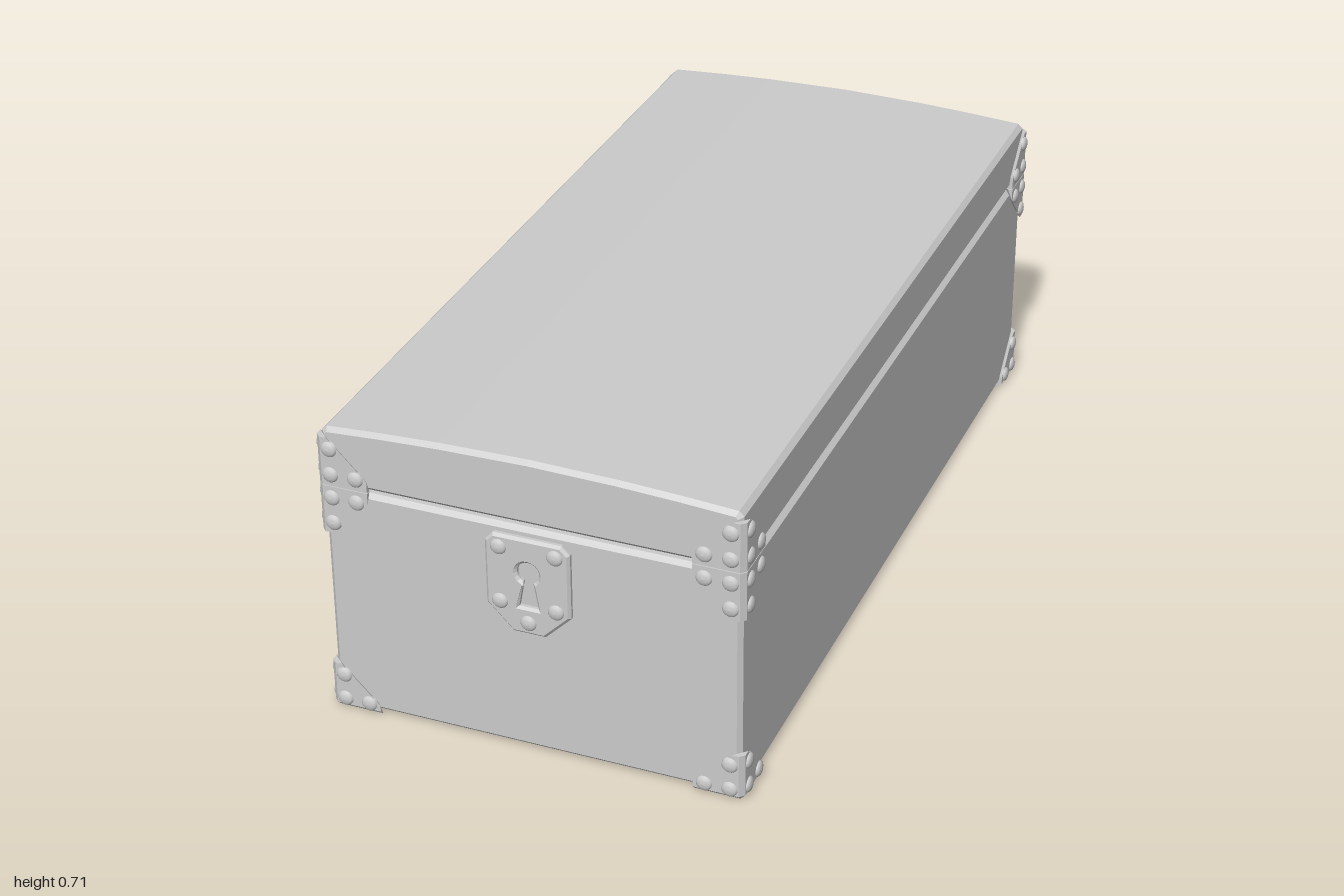
import * as THREE from 'three';
import { ConvexGeometry } from 'three/addons/geometries/ConvexGeometry.js';

const material = new THREE.MeshStandardMaterial({ color: 0xcccccc });
const X = 0.475, FRONT = 0.987, BACK = -0.99; // outer planes of the corner brackets

function add(parent, name, geometry) {
  const mesh = new THREE.Mesh(geometry, material);
  mesh.name = name;
  parent.add(mesh);
  return mesh;
}

const shapeOf = pts => new THREE.Shape(pts.map(p => new THREE.Vector2(...p)));

// Outline given for its right half from bottom to top, mirrored to the left
const mirrored = half => [...half, ...half.filter(p => p[0] > 0).reverse().map(([x, y]) => [-x, y])];

// Extrusion between two z planes whose rims are chamfered inside the outline
function chamferedPrism(shape, z0, z1, bevel) {
  return new THREE.ExtrudeGeometry(shape, {
    depth: z1 - z0 - 2 * bevel, bevelEnabled: true, bevelSegments: 1,
    bevelSize: bevel, bevelThickness: bevel, bevelOffset: -bevel, curveSegments: 8,
  }).translate(0, 0, z0 + bevel);
}

// Low domed rivet, axis +y
const rivetGeometry = new THREE.LatheGeometry(
  [[0.0185, -0.003], [0.0175, 0.002], [0.014, 0.0055], [0.008, 0.0075], [0, 0.0085]]
    .map(p => new THREE.Vector2(...p)), 20);

function rivet(parent, position, normal) {
  const mesh = add(parent, 'rivet', rivetGeometry);
  mesh.position.set(...position);
  mesh.quaternion.setFromUnitVectors(new THREE.Vector3(0, 1, 0), new THREE.Vector3(...normal));
}

// Three-sided corner cap; a, b, c run inwards from the corner along x, y, z
function cornerBracket(parent, name, sx, y0, sy, sz, edge) {
  const group = new THREE.Group();
  group.name = name;
  parent.add(group);
  const z0 = sz > 0 ? FRONT : BACK;
  const place = (a, b, c) => [sx * (X - a), y0 + sy * b, z0 - sz * c];
  const L = 0.114, W = 0.027, K = 0.011;
  const points = [];
  for (const [u, v] of [[K, edge], [L, edge], [L, W], [W, L], [K, L]]) {
    points.push(place(u, v, 0), place(0, v, u));
  }
  for (const [a, c] of [[K, K], [L, K], [K, L]]) points.push(place(a, 0, c));
  add(group, 'cap', new ConvexGeometry(points.map(p => new THREE.Vector3(...p))));
  for (const [u, v] of [[0.031, 0.027], [0.088, 0.027], [0.031, 0.088]]) {
    rivet(group, place(u, v, 0), [0, 0, sz]);
    rivet(group, place(0, v, u), [sx, 0, 0]);
  }
}

export function createModel() {
  const chest = new THREE.Group();
  chest.name = 'chest';

  // Body and shallow arched lid, with a narrow gap between them
  const body = mirrored([[0.455, 0.008], [0.466, 0.019], [0.466, 0.544], [0.455, 0.555]]);
  add(chest, 'body', chamferedPrism(shapeOf(body), -0.983, 0.979, 0.01));
  const lid = mirrored([[0.455, 0.563], [0.466, 0.574], [0.466, 0.686], [0.455, 0.697],
    [0.33, 0.705], [0.2, 0.711], [0, 0.715]]);
  add(chest, 'lid', chamferedPrism(shapeOf(lid), -0.983, 0.979, 0.01));

  // Riveted brackets on every corner of body and lid
  for (const sx of [-1, 1]) {
    for (const sz of [-1, 1]) {
      cornerBracket(chest, 'baseBracket', sx, 0, 1, sz, 0.011);
      cornerBracket(chest, 'rimBracket', sx, 0.562, -1, sz, 0);
      cornerBracket(chest, 'lidBracket', sx, 0.564, 1, sz, 0);
    }
  }

  // Lock plate with keyhole
  const lock = new THREE.Group();
  lock.name = 'lock';
  chest.add(lock);
  const plate = shapeOf(mirrored([[0.036, 0.304], [0.095, 0.363], [0.095, 0.517], [0.077, 0.536]]));
  const keyhole = new THREE.Path();
  keyhole.moveTo(-0.022, 0.369);
  keyhole.lineTo(-0.011, 0.431);
  keyhole.absarc(0, 0.453, 0.025, -Math.PI / 2 - 0.46, -Math.PI / 2 + 0.46, true);
  keyhole.lineTo(0.022, 0.369);
  keyhole.closePath();
  plate.holes.push(keyhole);
  add(lock, 'lockPlate', chamferedPrism(plate, 0.972, 0.992, 0.006));
  for (const [x, y] of [[-0.063, 0.507], [0.063, 0.507], [-0.063, 0.375], [0.063, 0.375], [0, 0.333]]) {
    rivet(lock, [x, y, 0.992], [0, 0, 1]);
  }

  // Two hinges at the back, each a thick inner and a thin outer knuckle
  for (const sx of [-1, 1]) {
    for (const [x0, x1, r] of [[0.16, 0.278, 0.015], [0.281, 0.37, 0.012]]) {
      const knuckle = add(chest, 'hingeKnuckle', new THREE.CylinderGeometry(r, r, x1 - x0, 16));
      knuckle.rotation.z = Math.PI / 2;
      knuckle.position.set(sx * (x0 + x1) / 2, 0.559, -0.985);
    }
  }
  return chest;
}
